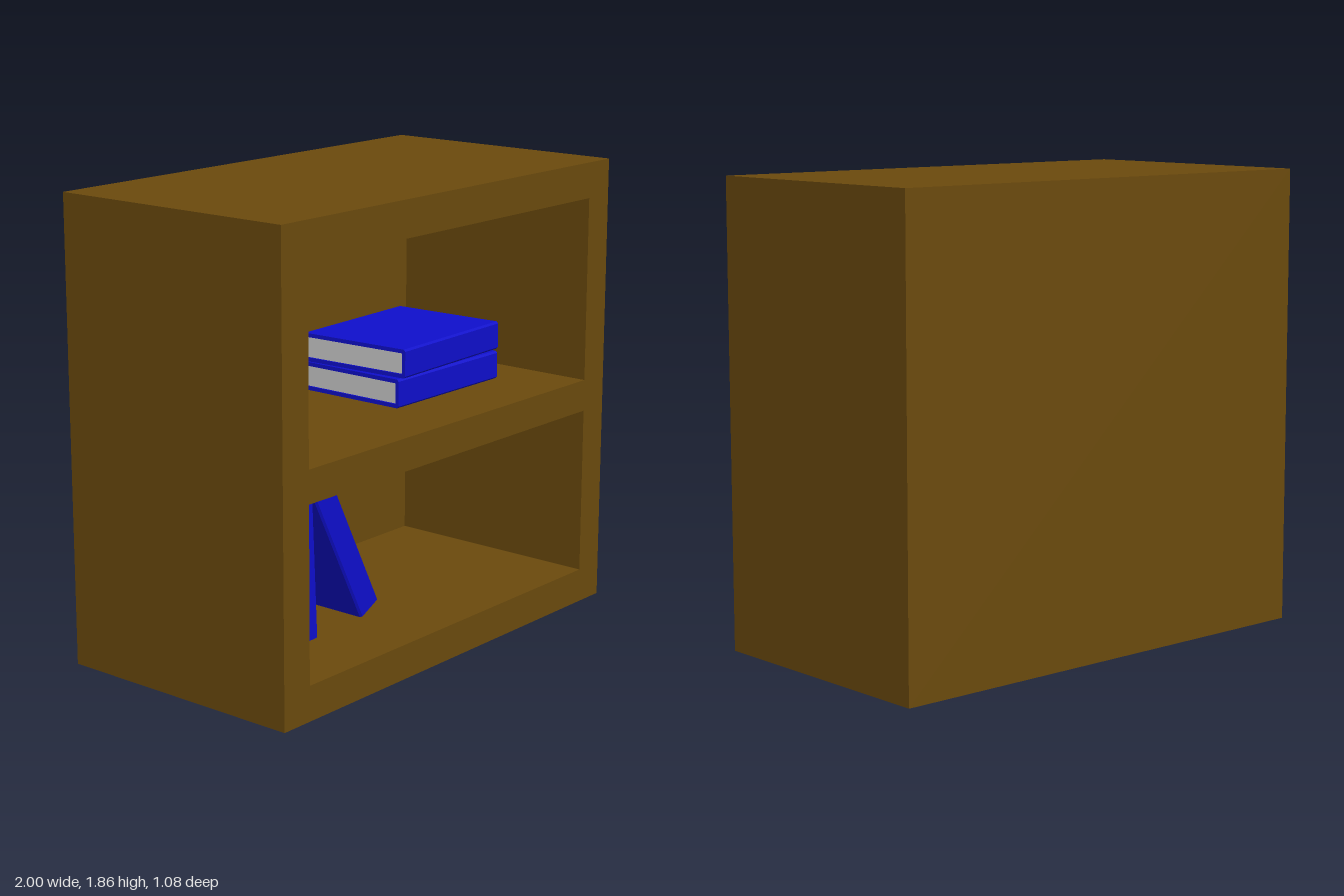
import * as THREE from 'three';

const W = 2, H = 1.86, D = 1.08;
const NICHE_DEPTH = 0.94;
const NICHES = [
  { name: 'lowerNiche', x0: -0.86, x1: 0.865, y0: 0.14, y1: 0.83 },
  { name: 'upperNiche', x0: -0.86, x1: 0.865, y0: 0.96, y1: 1.715 },
];
const BOOK = { height: 0.645, thick: 0.116, depth: 0.5, cover: 0.016, bevel: 0.008 };

const wood = new THREE.MeshStandardMaterial({ color: 0x6b4a0d });
const blue = new THREE.MeshStandardMaterial({ color: 0x0f0fcc });
const paper = new THREE.MeshStandardMaterial({ color: 0xcccccc });

function addMesh(parent, name, geometry, material) {
  const mesh = new THREE.Mesh(geometry, material);
  mesh.name = name;
  parent.add(mesh);
  return mesh;
}

// Box without its front (+z) face; inward turns the faces to the inside
function openBox(w, h, d, inward) {
  const g = new THREE.BoxGeometry(w, h, d);
  const idx = Array.from(g.index.array);
  idx.splice(24, 6);
  g.clearGroups();
  g.setIndex(inward ? idx.reverse() : idx);
  g.computeVertexNormals();
  return g;
}

// Bookcase: outer shell, front frame with two openings, and the two niches
function createCase() {
  const group = new THREE.Group();
  group.name = 'bookcase';
  addMesh(group, 'shell', openBox(W, H, D, false), wood).position.y = H / 2;

  const rect = (path, x0, y0, x1, y1) =>
    path.moveTo(x0, y0).lineTo(x1, y0).lineTo(x1, y1).lineTo(x0, y1).closePath();
  const frame = new THREE.Shape();
  rect(frame, -W / 2, 0, W / 2, H);
  for (const n of NICHES) {
    const hole = new THREE.Path();
    rect(hole, n.x0, n.y0, n.x1, n.y1);
    frame.holes.push(hole);
    const niche = addMesh(group, n.name,
      openBox(n.x1 - n.x0, n.y1 - n.y0, NICHE_DEPTH, true), wood);
    niche.position.set((n.x0 + n.x1) / 2, (n.y0 + n.y1) / 2, (D - NICHE_DEPTH) / 2);
  }
  addMesh(group, 'frontFrame', new THREE.ShapeGeometry(frame), wood).position.z = D / 2;
  return group;
}

// Book standing upright with its spine towards +z
function createBook(name) {
  const { height, thick, depth, cover, bevel } = BOOK;
  const t = thick / 2, d = depth / 2;
  const group = new THREE.Group();
  group.name = name;

  // U-shaped cover with a slightly bevelled spine
  const profile = new THREE.Shape([
    [-t, d], [-t, -d + bevel], [-t + bevel, -d], [t - bevel, -d], [t, -d + bevel], [t, d],
    [t - cover, d], [t - cover, -d + cover], [-t + cover, -d + cover], [-t + cover, d],
  ].map(([x, y]) => new THREE.Vector2(x, y)));
  const coverGeo = new THREE.ExtrudeGeometry(profile, { depth: height, bevelEnabled: false });
  coverGeo.translate(0, 0, -height / 2).rotateX(-Math.PI / 2);
  addMesh(group, 'cover', coverGeo, blue);

  // Page block, set in a little from the cover edges
  const pages = new THREE.BoxGeometry(thick - 2 * cover, height - 0.016, depth - cover - 0.012);
  addMesh(group, 'pages', pages, paper).position.z = (0.012 - cover) / 2;
  return group;
}

export function createModel() {
  const model = new THREE.Group();
  model.name = 'bookcaseWithBooks';
  model.add(createCase());

  // Standing and leaning books: x, y, lean
  [
    [-0.802, 0.472, 0],
    [-0.675, 0.471, 0.053],
    [-0.548, 0.471, 0.046],
    [-0.311, 0.472, 0.467],
  ].forEach(([x, y, lean], i) => {
    const book = createBook('standingBook' + (i + 1));
    book.position.set(x, y, 0);
    book.rotation.z = lean;
    model.add(book);
  });

  // Stacked books lying flat: x, y, turn
  [
    [0.33, 1.019, 0],
    [0.342, 1.137, 0.043],
  ].forEach(([x, y, turn], i) => {
    const book = createBook('lyingBook' + (i + 1));
    book.position.set(x, y, 0);
    book.rotation.set(0, turn, -Math.PI / 2, 'YXZ');
    model.add(book);
  });
  return model;
}
